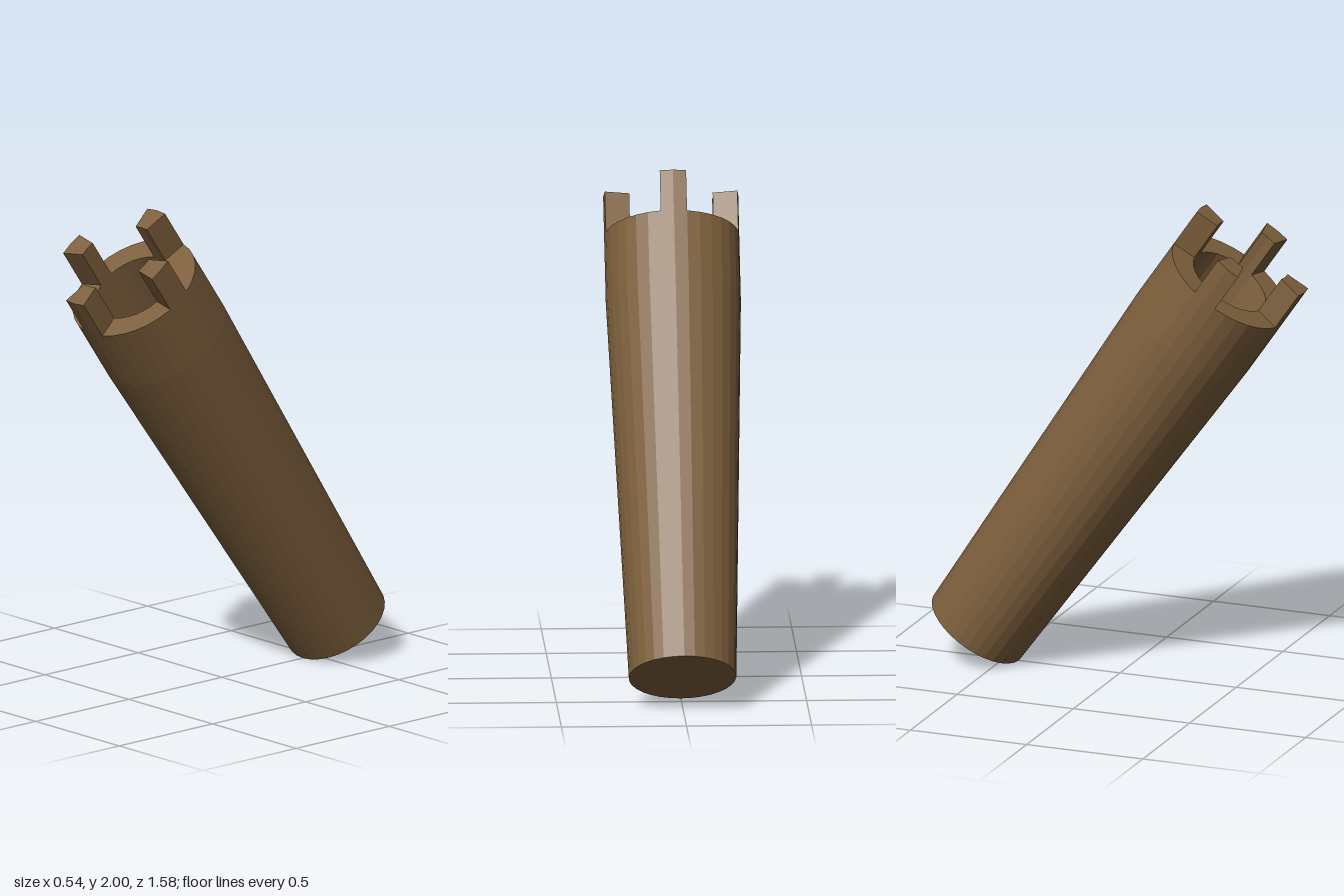
import * as THREE from 'three';

const SIDES = 32;
const OUTER = 0.27, INNER = 0.17;
const RIM = 1.914, TIP = 2.089, FLOOR = 1.586;

export function createModel() {
  const model = new THREE.Group();
  model.name = 'leaningTower';
  const material = new THREE.MeshStandardMaterial({ color: 0x7d5f3c, flatShading: true });

  // Tapered shaft with a straight collar and a blind hole in the top
  const profile = [
    [0, 0], [0.215, 0], [OUTER, 1.63], [OUTER, RIM],
    [INNER, RIM], [INNER, FLOOR], [0, FLOOR],
  ].map(([r, y]) => new THREE.Vector2(r, y));
  const shaft = new THREE.Mesh(new THREE.LatheGeometry(profile, SIDES), material);
  shaft.name = 'shaft';
  model.add(shaft);

  // Wedge-shaped battlement, two sides of the ring wide
  const step = (Math.PI * 2) / SIDES;
  const at = (r, i) => new THREE.Vector2(r * Math.cos(i * step), r * Math.sin(i * step));
  const wedge = new THREE.Shape([
    at(INNER, -1), at(OUTER, -1), at(OUTER, 0), at(OUTER, 1), at(INNER, 1), at(INNER, 0),
  ]);
  const battlementGeometry = new THREE.ExtrudeGeometry(wedge, { depth: TIP - RIM, bevelEnabled: false });
  battlementGeometry.rotateX(-Math.PI / 2);

  // Four battlements around the rim
  for (let i = 0; i < 4; i++) {
    const battlement = new THREE.Mesh(battlementGeometry, material);
    battlement.name = `battlement${i + 1}`;
    battlement.position.y = RIM;
    battlement.rotation.y = (i * Math.PI) / 2;
    model.add(battlement);
  }

  // Lean forward, resting on the front edge of the base
  model.rotation.x = THREE.MathUtils.degToRad(34.5);
  model.position.set(0, 0.122, -0.613);

  const root = new THREE.Group();
  root.name = 'tower';
  root.add(model);
  return root;
}
